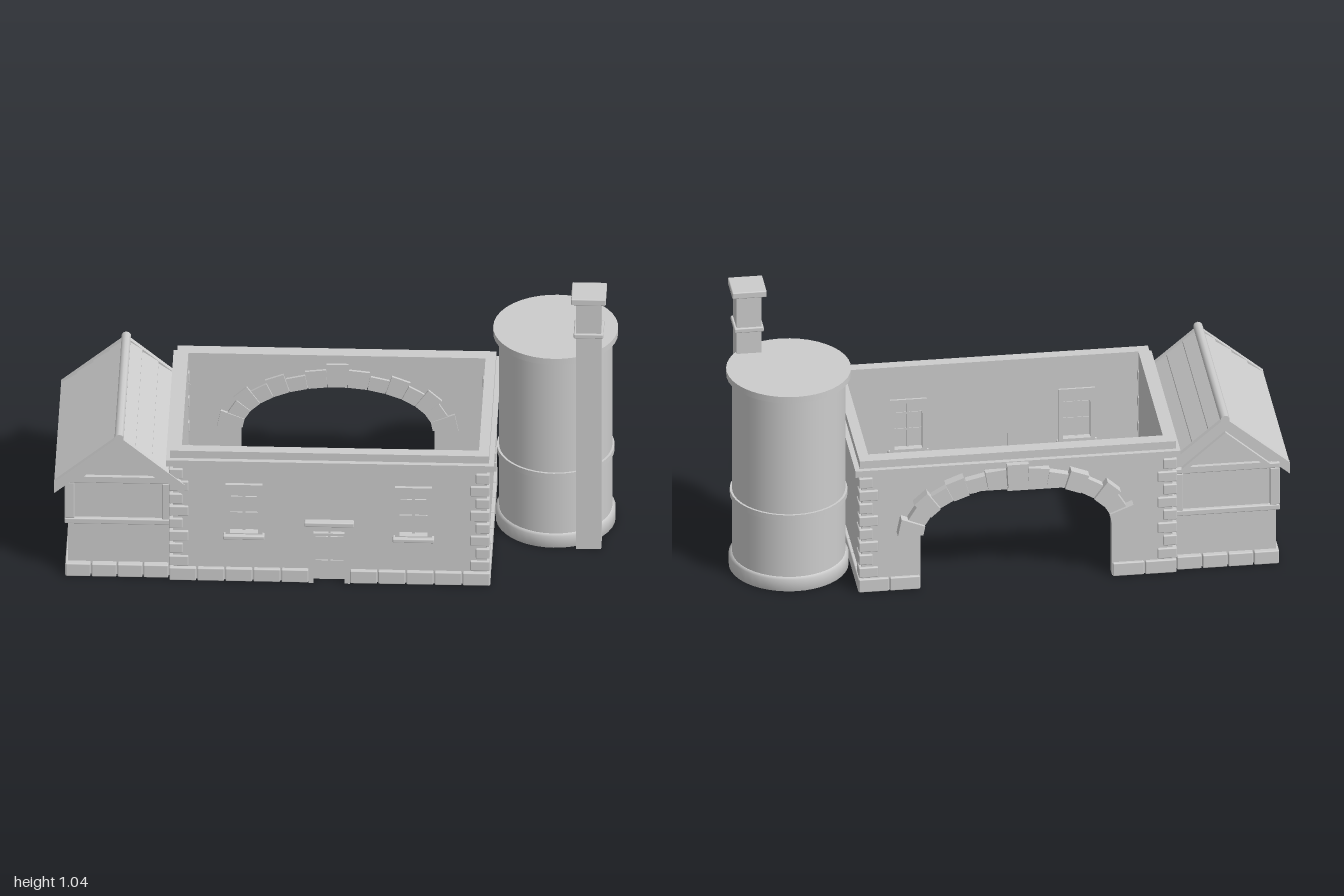
import * as THREE from 'three';
import { RoundedBoxGeometry } from 'three/addons/geometries/RoundedBoxGeometry.js';

export function createModel() {
  const model = new THREE.Group();
  const stone = new THREE.MeshStandardMaterial({ color: 0xcccccc, side: THREE.DoubleSide });
  stone.name = 'light grey stone';

  const group = (name, parent = model) => {
    const g = new THREE.Group();
    g.name = name;
    parent.add(g);
    return g;
  };
  const add = (parent, name, geometry) => {
    const m = new THREE.Mesh(geometry, stone);
    m.name = name;
    parent.add(m);
    return m;
  };
  // Boxes are given by their limits on each axis
  const place = (m, x0, x1, y0, y1, z0, z1) => m.position.set((x0 + x1) / 2, (y0 + y1) / 2, (z0 + z1) / 2);
  const box = (parent, name, x0, x1, y0, y1, z0, z1) =>
    place(add(parent, name, new THREE.BoxGeometry(x1 - x0, y1 - y0, z1 - z0)), x0, x1, y0, y1, z0, z1);
  const block = (parent, name, x0, x1, y0, y1, z0, z1) =>
    place(add(parent, name, new RoundedBoxGeometry(x1 - x0, y1 - y0, z1 - z0, 1, 0.004)), x0, x1, y0, y1, z0, z1);
  const poly = (pts) => new THREE.Shape(pts.map(([x, y]) => new THREE.Vector2(x, y)));
  const rect = (x0, x1, y0, y1) => poly([[x0, y0], [x1, y0], [x1, y1], [x0, y1]]);
  const prism = (parent, name, shape, z0, z1) => {
    const g = new THREE.ExtrudeGeometry(shape, { depth: z1 - z0, bevelEnabled: false, curveSegments: 12 });
    g.translate(0, 0, z0);
    return add(parent, name, g);
  };

  // Main hall walls
  const hall = group('hall');
  const X0 = -0.575, X1 = 0.545, Z0 = -0.35, Z1 = 0.37;
  const IX0 = -0.545, IX1 = 0.515, IZ0 = -0.31, IZ1 = 0.33;
  const windowXs = [-0.322, 0.283];
  box(hall, 'leftEndWall', X0, IX0, 0, 0.5, IZ0, IZ1);
  box(hall, 'rightEndWall', IX1, X1, 0, 0.5, IZ0, IZ1);
  const front = poly([[X0, 0], [-0.075, 0], [-0.075, 0.235], [0.04, 0.235], [0.04, 0], [X1, 0], [X1, 0.5], [X0, 0.5]]);
  for (const x of windowXs) front.holes.push(rect(x - 0.06, x + 0.06, 0.195, 0.395));
  prism(hall, 'frontWall', front, IZ1, Z1);

  // Back wall with a wide elliptical arch
  const ax = -0.012, ay = 0.23, a = 0.345, b = 0.18;
  const back = new THREE.Shape();
  back.moveTo(X0, 0).lineTo(ax - a, 0).lineTo(ax - a, ay);
  back.absellipse(ax, ay, a, b, Math.PI, 0, true, 0);
  back.lineTo(ax + a, 0).lineTo(X1, 0).lineTo(X1, 0.5).lineTo(X0, 0.5);
  prism(hall, 'backWall', back, Z0, IZ0);

  // Arch stones, alternately long and short, around a keystone
  const arch = group('archStones', hall);
  const onArch = (t, h) => {
    const nx = Math.cos(t) / a, ny = Math.sin(t) / b, l = Math.hypot(nx, ny);
    return [ax + a * Math.cos(t) + (nx / l) * h, ay + b * Math.sin(t) + (ny / l) * h];
  };
  const count = 15;
  for (let i = 0; i < count; i++) {
    const t0 = (i / count) * Math.PI + 0.004, t1 = ((i + 1) / count) * Math.PI - 0.004;
    const key = i === 7;
    const h = key ? 0.088 : (i % 2 ? 0.065 : 0.088) * (1 - 0.27 * Math.sin((t0 + t1) / 2));
    prism(arch, key ? 'keystone' : 'archStone',
      poly([onArch(t0, -0.006), onArch(t0, h), onArch(t1, h), onArch(t1, -0.006)]),
      key ? -0.4 : i % 2 ? -0.38 : -0.388, -0.3);
  }

  // Cornice and parapet rings
  const ring = (name, x0, x1, z0, z1, y0, y1) => {
    const s = rect(x0, x1, -z1, -z0);
    s.holes.push(rect(IX0, IX1, -IZ1, -IZ0));
    prism(hall, name, s, y0, y1).rotation.x = -Math.PI / 2;
  };
  ring('cornice', -0.6, 0.57, -0.378, 0.388, 0.475, 0.5);
  ring('parapet', -0.585, 0.552, -0.36, 0.37, 0.5, 0.53);

  // Corner stones
  const quoins = group('cornerStones', hall);
  for (const sx of [-1, 1]) for (const sz of [-1, 1]) for (let i = 0; i < 8; i++) {
    const lx = i % 2 ? 0.05 : 0.07, lz = i % 2 ? 0.07 : 0.05;
    const x = sx < 0 ? -0.59 : 0.555 - lx, z = sz < 0 ? -0.36 : 0.38 - lz;
    const y = 0.058 + i * 0.0515;
    block(quoins, 'cornerStone', x, x + lx, y, y + 0.04, z, z + lz);
  }

  // Plinth stones laid in rows
  const plinth = group('plinth');
  const rowX = (x0, x1, z0, z1) => {
    const n = Math.max(1, Math.round((x1 - x0) / 0.103)), w = (x1 - x0) / n;
    for (let i = 0; i < n; i++) block(plinth, 'plinthStone', x0 + i * w + 0.002, x0 + (i + 1) * w - 0.002, 0, 0.052, z0, z1);
  };
  const rowZ = (z0, z1, x0, x1) => {
    const n = Math.max(1, Math.round((z1 - z0) / 0.105)), w = (z1 - z0) / n;
    for (let i = 0; i < n; i++) block(plinth, 'plinthStone', x0, x1, 0, 0.052, z0 + i * w + 0.002, z0 + (i + 1) * w - 0.002);
  };
  rowX(-0.59, -0.09, 0.34, 0.385);
  rowX(0.055, 0.557, 0.34, 0.385);
  rowX(-0.59, ax - a, -0.362, -0.32);
  rowX(ax + a, 0.557, -0.362, -0.32);
  rowZ(-0.362, 0.385, 0.522, 0.557);
  rowX(-0.96, -0.59, 0.325, 0.37);
  rowX(-0.96, -0.59, -0.345, -0.31);
  rowZ(-0.345, 0.37, -0.96, -0.93);

  // Arched windows
  for (const x of windowXs) {
    const w = group('archedWindow');
    w.position.x = x;
    const frame = rect(-0.066, 0.066, 0.19, 0.4);
    const hole = new THREE.Path();
    hole.moveTo(-0.05, 0.2).lineTo(0.05, 0.2).lineTo(0.05, 0.335);
    hole.absarc(0, 0.335, 0.05, 0, Math.PI, false);
    frame.holes.push(hole);
    prism(w, 'windowFrame', frame, 0.322, 0.383);
    box(w, 'windowPane', -0.055, 0.055, 0.195, 0.39, 0.348, 0.354);
    box(w, 'mullion', -0.005, 0.005, 0.2, 0.385, 0.343, 0.362);
    for (const y of [0.265, 0.33]) box(w, 'glazingBar', -0.05, 0.05, y, y + 0.008, 0.345, 0.36);
    block(w, 'windowSill', -0.074, 0.074, 0.18, 0.196, 0.325, 0.398);
  }

  // Front door
  const door = group('door');
  for (const x of [-0.092, 0.038]) box(door, 'doorPost', x, x + 0.018, 0, 0.238, 0.33, 0.386);
  block(door, 'doorLintel', -0.106, 0.071, 0.237, 0.255, 0.33, 0.395);
  box(door, 'doorLeaf', -0.075, 0.04, 0, 0.238, 0.343, 0.355);
  box(door, 'transom', -0.075, 0.04, 0.187, 0.197, 0.345, 0.37);
  for (const x of [-0.068, -0.014]) for (const [y0, y1] of [[0.02, 0.08], [0.095, 0.178]])
    box(door, 'doorPanel', x, x + 0.046, y0, y1, 0.354, 0.36);
  box(door, 'transomBar', -0.021, -0.014, 0.195, 0.236, 0.35, 0.365);

  // Side house walls and gables
  const house = group('sideHouse');
  const HX0 = -0.95, HX1 = -0.575, HZ0 = -0.325, HZ1 = 0.347, RX = -0.767;
  box(house, 'houseFrontWall', HX0, HX1, 0, 0.4, HZ1 - 0.03, HZ1);
  box(house, 'houseBackWall', HX0, HX1, 0, 0.4, HZ0, HZ0 + 0.03);
  box(house, 'houseSideWall', HX0, HX0 + 0.03, 0, 0.4, HZ0 + 0.03, HZ1 - 0.03);
  const gable = poly([[HX0, 0.4], [HX1, 0.4], [RX, 0.56]]);
  const trim = poly([[-0.93, 0.4], [-0.604, 0.4], [RX, 0.54]]);
  trim.holes.push(poly([[-0.895, 0.41], [-0.639, 0.41], [RX, 0.52]]));

  // Timber framing on both gable ends
  for (const [z0, z1, wall] of [[HZ1 - 0.005, HZ1 + 0.015, HZ1 - 0.03], [HZ0 - 0.015, HZ0 + 0.005, HZ0]]) {
    prism(house, 'gable', gable, wall, wall + 0.03);
    prism(house, 'gableTrim', trim, z0, z1);
    block(house, 'lowerBeam', -0.962, HX1, 0.214, 0.236, z0, z1);
    block(house, 'upperBeam', -0.962, HX1, 0.384, 0.405, z0, z1);
    for (const x of [-0.962, -0.615]) block(house, 'timberPost', x, x + 0.035, 0.236, 0.385, z0, z1);
  }

  // Timber framing and window on the outer side
  block(house, 'sideLowerBeam', -0.963, -0.945, 0.214, 0.236, HZ0 - 0.015, HZ1 + 0.015);
  block(house, 'sideUpperBeam', -0.963, -0.945, 0.384, 0.405, HZ0 - 0.015, HZ1 + 0.015);
  for (const z of [HZ0 - 0.015, HZ1 - 0.02]) block(house, 'sidePost', -0.963, -0.945, 0.236, 0.385, z, z + 0.035);
  for (const z of [-0.065, 0.003, 0.071]) box(house, 'sideWindowBar', -0.965, -0.945, 0.25, 0.38, z, z + 0.014);
  for (const y of [0.25, 0.366]) box(house, 'sideWindowRail', -0.964, -0.945, y, y + 0.014, -0.06, 0.08);
  block(house, 'sideWindowSill', -0.976, -0.945, 0.237, 0.251, -0.08, 0.1);

  // Lapped roof boards, bargeboards and ridge
  const slope = 0.837;
  for (const s of [-1, 1]) {
    const strip = (u0, u1, lift0, lift1, t) => poly([
      [RX + s * u0, 0.582 - slope * u0 + lift0], [RX + s * u1, 0.582 - slope * u1 + lift1],
      [RX + s * u1, 0.582 - slope * u1 - t], [RX + s * u0, 0.582 - slope * u0 - t]]);
    for (let i = 0; i < 4; i++) {
      const u0 = i * 0.058, u1 = Math.min((i + 1) * 0.058, s > 0 ? 0.212 : 0.232);
      prism(house, 'roofBoard', strip(u0, u1, 0, 0.009, 0.02), -0.31, 0.37);
    }
    for (const z of [-0.328, 0.365]) prism(house, 'bargeboard', strip(0, 0.233, 0.01, 0.01, 0.035), z, z + 0.02);
  }
  const ridge = add(house, 'ridge', new THREE.CylinderGeometry(0.017, 0.017, 0.718, 10));
  ridge.rotation.x = Math.PI / 2;
  ridge.position.set(RX, 0.586, 0.03);

  // Round tank, open underneath
  const tank = group('tank');
  tank.position.set(0.773, 0, -0.104);
  const drum = (name, r, y0, y1, open) => {
    add(tank, name, new THREE.CylinderGeometry(r, r, y1 - y0, 40, 1, open)).position.y = (y0 + y1) / 2;
  };
  drum('tankBody', 0.202, 0, 0.77, true);
  drum('tankCap', 0.223, 0.765, 0.79, false);
  drum('tankBand', 0.21, 0.283, 0.305, false);
  const base = new THREE.LatheGeometry([[0.2, 0], [0.214, 0], [0.214, 0.046], [0.202, 0.052]].map(([r, y]) => new THREE.Vector2(r, y)), 40);
  add(tank, 'tankBase', base);

  // Square chimney
  const chimney = group('chimney');
  chimney.position.set(0.898, 0, 0.069);
  box(chimney, 'chimneyShaft', -0.045, 0.045, 0, 1.025, -0.045, 0.045);
  block(chimney, 'chimneyBand', -0.053, 0.053, 0.877, 0.895, -0.053, 0.053);
  block(chimney, 'chimneyCap', -0.062, 0.062, 1.02, 1.045, -0.062, 0.062);

  return model;
}
